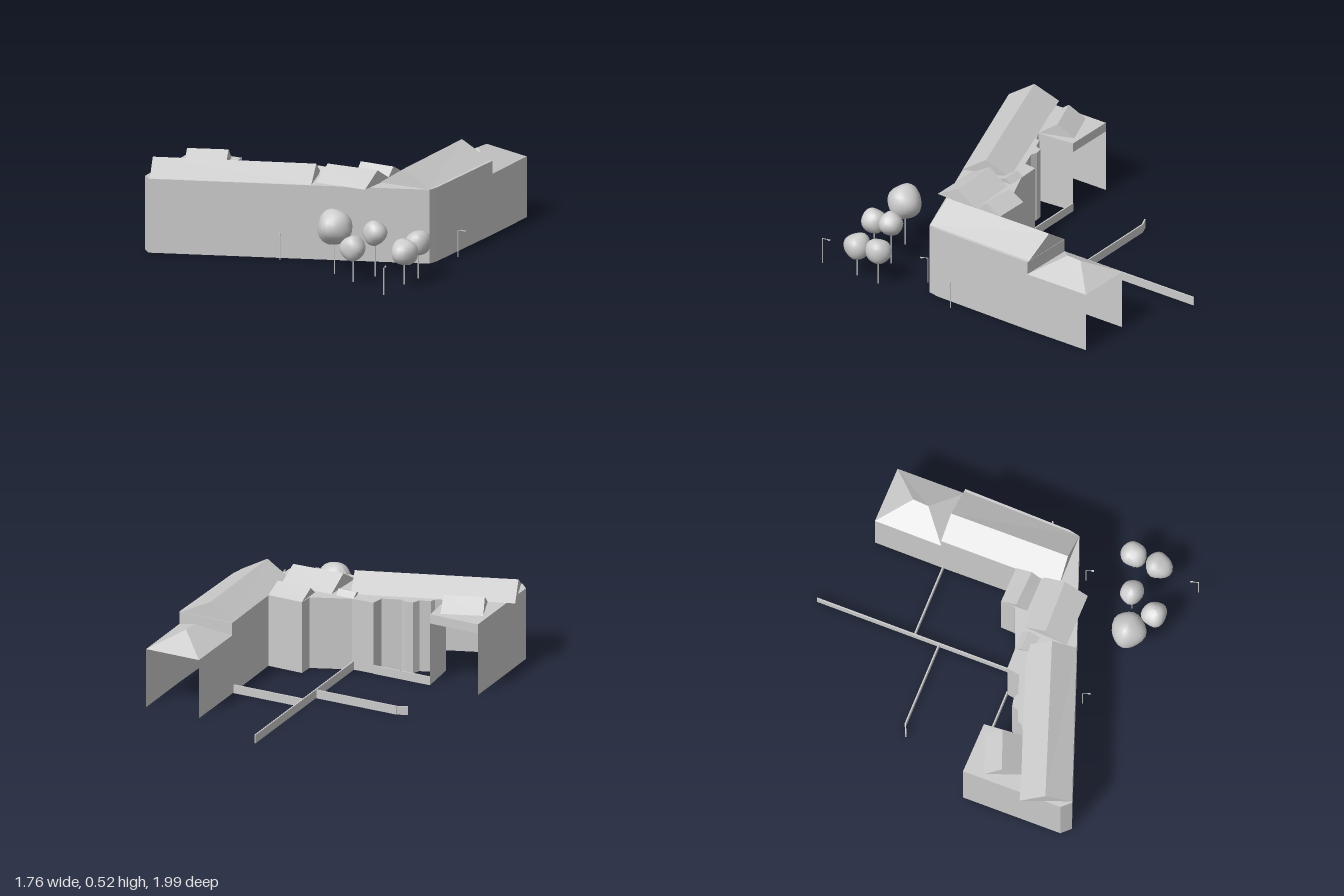
import * as THREE from 'three';

const EAVE = 0.425;
const wallMat = new THREE.MeshStandardMaterial({ color: 0xcccccc, flatShading: true, side: THREE.DoubleSide });
const treeMat = new THREE.MeshStandardMaterial({ color: 0xcccccc });

function mesh(name, geometry, material = wallMat) {
  const m = new THREE.Mesh(geometry, material);
  m.name = name;
  return m;
}

// Mesh made of flat polygons, each a list of [x, y, z] corners
function faces(name, polys) {
  const pos = [];
  for (const p of polys) {
    for (let i = 1; i < p.length - 1; i++) pos.push(...p[0], ...p[i], ...p[i + 1]);
  }
  const g = new THREE.BufferGeometry();
  g.setAttribute('position', new THREE.Float32BufferAttribute(pos, 3));
  g.computeVertexNormals();
  return mesh(name, g);
}

const at = ([x, z], y) => [x, y, z];

// Upright wall following a plan path of [x, z] points
function wall(name, path, y0, y1) {
  const polys = [];
  for (let i = 0; i < path.length - 1; i++) {
    const a = path[i], b = path[i + 1];
    polys.push([at(a, y0), at(b, y0), at(b, y1), at(a, y1)]);
  }
  return faces(name, polys);
}

// Pitched roof: two eaves and a ridge, each a pair of plan points
function gable(name, [n0, n1], [r0, r1], [s0, s1], ridgeY, y = EAVE + 0.002) {
  return faces(name, [
    [at(n0, y), at(n1, y), at(r1, ridgeY), at(r0, ridgeY)],
    [at(r0, ridgeY), at(r1, ridgeY), at(s1, y), at(s0, y)],
    [at(n0, y), at(r0, ridgeY), at(s0, y)],
    [at(n1, y), at(s1, y), at(r1, ridgeY)],
  ]);
}

// Solid slim post
function post(name, x, z, height, radius) {
  const m = mesh(name, new THREE.CylinderGeometry(radius, radius, height, 6), treeMat);
  m.position.set(x, height / 2, z);
  return m;
}

function tree(x, y, z, r, seed) {
  const g = new THREE.Group();
  g.name = 'tree';
  const crown = new THREE.SphereGeometry(1, 20, 14);
  const p = crown.attributes.position;
  const v = new THREE.Vector3();
  // Lumpy crown: gentle waves push the sphere in and out
  for (let i = 0; i < p.count; i++) {
    v.fromBufferAttribute(p, i);
    const bump = Math.sin(3.1 * v.x + seed) * Math.sin(2.7 * v.y + 2 * seed) + 0.6 * Math.sin(4.3 * v.z + 3 * seed + v.x);
    v.multiplyScalar(r * (1 + 0.07 * bump));
    p.setXYZ(i, v.x, v.y, v.z);
  }
  crown.computeVertexNormals();
  const top = mesh('crown', crown, treeMat);
  top.position.set(x, y, z);
  g.add(top, post('trunk', x, z, y - r * 0.6, 0.004));
  return g;
}

function lamp(x, z, ax, az) {
  const g = new THREE.Group();
  g.name = 'streetLamp';
  const dx = ax - x, dz = az - z, len = Math.hypot(dx, dz);
  const arm = mesh('lampArm', new THREE.BoxGeometry(len, 0.003, 0.003), treeMat);
  arm.position.set((x + ax) / 2, 0.154, (z + az) / 2);
  arm.rotation.y = -Math.atan2(dz, dx);
  const head = mesh('lampHead', new THREE.BoxGeometry(0.014, 0.005, 0.008), treeMat);
  head.position.set(ax, 0.152, az);
  head.rotation.y = arm.rotation.y;
  g.add(post('lampPost', x, z, 0.155, 0.003), arm, head);
  return g;
}

export function createModel() {
  const model = new THREE.Group();
  model.name = 'buildingComplex';

  // Plan outline: courtyard side, then street side
  const court = [
    [-0.515, 0.53], [-0.47, 0.49], [-0.467, 0.46], [-0.415, 0.42], [-0.41, 0.375],
    [-0.37, 0.355], [-0.335, 0.36], [-0.245, 0.295], [-0.255, 0.22], [-0.13, 0.18], [0.055, 0.03],
    [0.035, -0.05], [0.24, -0.105], [0.11, -0.53],
  ];
  const street = [
    [0.435, -0.615], [0.6, -0.01], [0.605, 0.055], [0.075, 0.45],
    [-0.66, 0.99], [-0.72, 0.955], [-0.885, 0.4],
  ];
  const passage = [[-0.885, 0.4], [-0.595, 0.32]];
  model.add(
    wall('courtyardWall', [passage[1], ...court], 0, EAVE),
    wall('streetWall', street, 0, EAVE),
    wall('passageLintel', passage, 0.37, EAVE),
    wall('stepWall', [court[court.length - 1], street[0]], 0.35, EAVE),
  );

  // Flat deck at eave level
  const outline = [passage[1], ...court, ...street].map(([x, z]) => new THREE.Vector2(x, z));
  const deck = mesh('eaveDeck', new THREE.ShapeGeometry(new THREE.Shape(outline)).rotateX(Math.PI / 2));
  deck.position.y = EAVE;
  model.add(deck);

  // Pitched roofs
  model.add(
    gable('mainRoof', [[-0.83, 0.755], [-0.08, 0.22]], [[-0.745, 0.87], [0, 0.335]], [[-0.655, 0.985], [0.075, 0.45]], 0.512),
    gable('sideWingRoof', [[-0.825, 0.505], [-0.635, 0.36]], [[-0.765, 0.58], [-0.58, 0.44]], [[-0.7, 0.67], [-0.515, 0.53]], 0.5),
    gable('middleRoof', [[-0.005, 0.145], [0.29, 0.045]], [[0.025, 0.27], [0.32, 0.175]], [[0.055, 0.395], [0.355, 0.31]], 0.505),
    gable('smallRoof', [[0.035, -0.05], [0.24, -0.105]], [[0.055, 0.04], [0.26, -0.01]], [[0.08, 0.1], [0.275, 0.045]], 0.478),
    gable('dormerRoof', [[-0.14, 0.18], [-0.035, 0.15]], [[-0.13, 0.215], [-0.02, 0.185]], [[-0.1, 0.265], [0, 0.25]], 0.455),
    gable('longWingRoof', [[0.11, -0.53], [0.31, 0.145]], [[0.245, -0.565], [0.445, 0.1]], [[0.42, -0.612], [0.605, 0.055]], 0.522),
  );

  // Lower end block with a hipped roof and an open end
  const a = [0, -0.91], b = [0.32, -1], c = [0.435, -0.615], d = [0.11, -0.53];
  const h0 = [0.205, -0.8], h1 = [0.225, -0.71], low = 0.35, top = 0.44;
  model.add(
    wall('endBlockInnerWall', [a, d], 0, low),
    wall('endBlockOuterWall', [b, c], 0, low),
    faces('hippedRoof', [
      [at(a, low), at(b, low), at(h0, top)],
      [at(b, low), at(c, low), at(h1, top), at(h0, top)],
      [at(c, low), at(d, low), at(h1, top)],
      [at(d, low), at(a, low), at(h0, top), at(h1, top)],
    ]),
  );

  // Low garden walls
  const gardenWalls = [
    [[-0.47, -0.95], [-0.13, 0.2]],
    [[-0.3, -0.395], [0.11, -0.515]],
    [[-0.27, -0.25], [-0.75, -0.11], [-0.8, -0.07]],
    [[-0.595, 0.32], [-0.255, 0.22]],
  ];
  for (const path of gardenWalls) {
    for (let i = 0; i < path.length - 1; i++) {
      const [[x0, z0], [x1, z1]] = [path[i], path[i + 1]];
      const w = mesh('gardenWall', new THREE.BoxGeometry(Math.hypot(x1 - x0, z1 - z0), 0.05, 0.008));
      w.position.set((x0 + x1) / 2, 0.025, (z0 + z1) / 2);
      w.rotation.y = -Math.atan2(z1 - z0, x1 - x0);
      model.add(w);
    }
  }

  // Trees: x, crown height, z, radius
  [[0.38, 0.27, 0.575, 0.1], [0.573, 0.25, 0.45, 0.067], [0.565, 0.195, 0.615, 0.07],
    [0.77, 0.205, 0.31, 0.072], [0.805, 0.185, 0.455, 0.076]]
    .forEach(([x, y, z, r], i) => model.add(tree(x, y, z, r, i * 1.7 + 0.5)));

  // Street lamps: post, then arm tip
  for (const l of [[0.62, -0.155, 0.655, -0.172], [0.545, 0.15, 0.567, 0.18],
    [-0.04, 0.58, -0.015, 0.61], [0.873, 0.685, 0.853, 0.65]]) model.add(lamp(...l));

  return model;
}
